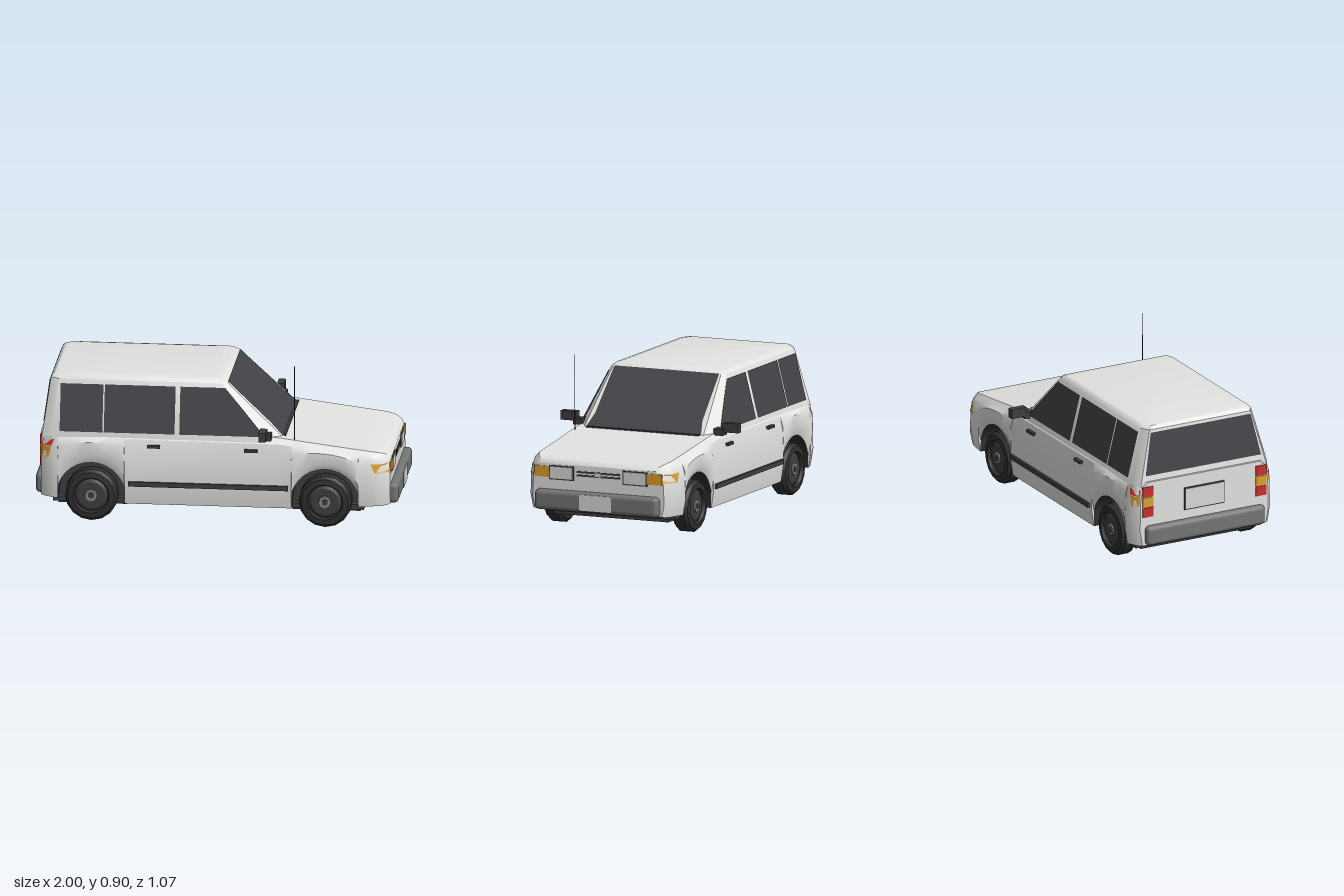
import * as THREE from 'three';
import { toCreasedNormals } from 'three/addons/utils/BufferGeometryUtils.js';
import { RoundedBoxGeometry } from 'three/addons/geometries/RoundedBoxGeometry.js';

const { lerp } = THREE.MathUtils;
const mat = (name, color) =>
  Object.assign(new THREE.MeshStandardMaterial({ color, side: THREE.DoubleSide }), { name });

// Skin between equal-length rings of [x, y, z] points
function loft(rings, closed, caps) {
  const n = rings[0].length, index = [];
  for (let i = 0; i < rings.length - 1; i++) {
    for (let j = 0; j < (closed ? n : n - 1); j++) {
      const a = i * n + j, d = i * n + (j + 1) % n;
      index.push(a, a + n, d + n, a, d + n, d);
    }
  }
  if (caps) {
    const e = (rings.length - 1) * n;
    for (let j = 1; j < n - 1; j++) index.push(0, j, j + 1, e, e + j + 1, e + j);
  }
  const g = new THREE.BufferGeometry();
  g.setAttribute('position', new THREE.Float32BufferAttribute(rings.flat(2), 3));
  g.setIndex(index);
  return toCreasedNormals(g, 0.55);
}

// Lower body keys: x, bottom, top, half width
const KEYS = [
  [-0.965, 0.13, 0.495, 0.40], [-0.94, 0.13, 0.5, 0.425], [-0.88, 0.125, 0.5, 0.442],
  [-0.6, 0.105, 0.5, 0.447], [0.34, 0.105, 0.495, 0.447], [0.6, 0.105, 0.462, 0.447],
  [0.86, 0.13, 0.43, 0.445], [0.91, 0.13, 0.42, 0.428], [0.94, 0.13, 0.405, 0.405], [0.955, 0.135, 0.385, 0.395],
];
const AXLES = [-0.685, 0.6], AXLE_Y = 0.145, ARCH = 0.188;

// Half cross-section of the lower body, bottom to top, as [y, z]
function section(x) {
  let i = 0;
  while (i < KEYS.length - 2 && x > KEYS[i + 1][0]) i++;
  const t = (x - KEYS[i][0]) / (KEYS[i + 1][0] - KEYS[i][0]);
  let [, yb, yt, w] = KEYS[i].map((v, k) => lerp(v, KEYS[i + 1][k], t));
  for (const c of AXLES) {
    const d = Math.abs(x - c);
    if (d < ARCH - 0.005) yb = AXLE_Y + Math.sqrt(ARCH * ARCH - d * d);
  }
  const h = yt - yb;
  return [[yb, w - 0.015], [yb + 0.25 * h, w], [yb + 0.7 * h, w - 0.004], [yt - 0.03, w - 0.02], [yt, w - 0.05]];
}

// Width of the body side at a given point
function sideZ(x, y) {
  const s = section(x);
  let i = 0;
  while (i < s.length - 2 && y > s[i + 1][0]) i++;
  return lerp(s[i][1], s[i + 1][1], (y - s[i][0]) / (s[i + 1][0] - s[i][0]));
}

// Glasshouse planes
const rise = y => (y - 0.48) / 0.3;
const cabinZ = y => lerp(0.42, 0.345, rise(y));
const screenX = y => lerp(0.37, 0.055, rise(y));
const tailX = y => lerp(-0.958, -0.918, rise(y));

export function createModel() {
  const car = new THREE.Group();
  car.name = 'car';
  const paint = mat('body paint', 0xe2e2e0), glass = mat('dark glass', 0x434247),
    trim = mat('black trim', 0x3e3e41), rubber = mat('tyre rubber', 0x303032),
    bumperGrey = mat('bumper grey', 0x737674), red = mat('lamp red', 0xc9302c),
    amber = mat('lamp amber', 0xdb9d2c), lens = mat('plate and lens white', 0xd8d8d8),
    metal = mat('hub metal', 0x85878a);

  const add = (name, geo, material, parent = car) => {
    const m = new THREE.Mesh(geo, material);
    m.name = name;
    parent.add(m);
    return m;
  };
  // Box given by its min and max corners
  const box = (name, m, x0, x1, y0, y1, z0, z1) =>
    add(name, new THREE.BoxGeometry(x1 - x0, y1 - y0, Math.abs(z1 - z0)), m)
      .position.set((x0 + x1) / 2, (y0 + y1) / 2, (z0 + z1) / 2);
  // Flat outline laid onto a surface by a mapping rule
  const plate = (name, m, pts, map) => {
    const g = new THREE.ShapeGeometry(new THREE.Shape(pts.map(p => new THREE.Vector2(...p))));
    const p = g.attributes.position;
    for (let i = 0; i < p.count; i++) p.setXYZ(i, ...map(p.getX(i), p.getY(i)));
    g.computeVertexNormals();
    // Turn the faces outward when the mapping mirrors them
    const c = new THREE.Vector3(...map(...pts[0]));
    const nrm = new THREE.Vector3().fromBufferAttribute(g.attributes.normal, 0);
    const out = Math.abs(nrm.z) > Math.abs(nrm.x) ? nrm.z * c.z : nrm.x * c.x;
    if (out < 0) {
      g.setIndex([...g.index.array].reverse());
      g.computeVertexNormals();
    }
    return add(name, g, m);
  };
  const rect = (u0, u1, v0, v1) => [[u0, v0], [u1, v0], [u1, v1], [u0, v1]];

  // Lower body with wheel arches, and its dark underside
  const xs = KEYS.map(k => k[0]);
  for (const c of AXLES) {
    for (let k = 0; k <= 14; k++) xs.push(c - (ARCH - 0.0055) * Math.cos(k / 14 * Math.PI));
    xs.push(c - ARCH + 0.004, c + ARCH - 0.004);
  }
  xs.sort((a, b) => a - b);
  const rings = xs.map(x => {
    const s = section(x);
    return [...s.map(([y, z]) => [x, y, z]), ...s.reverse().map(([y, z]) => [x, y, -z])];
  });
  add('lowerBody', loft(rings, false, true), paint);
  add('underside', loft(rings.map(r => [r[r.length - 1], r[0]]), false, false), rubber);

  // Cabin: front x, rear x, half width, front corner inset in x and z, at each height
  const levels = [
    [0.47, 0.38, -0.959, 0.4225, 0.105, 0.062], [0.78, 0.055, -0.918, 0.345, 0.03, 0.02],
    [0.797, 0.03, -0.9, 0.328, 0.03, 0.02], [0.803, -0.01, -0.87, 0.3, 0.03, 0.02],
  ];
  add('cabin', loft(levels.map(([y, xf, xr, w, c, d]) => {
    const half = [[xf, w - d], [xf - c, w], [xr + 0.05, w], [xr, w - 0.03]];
    return [...half.map(([x, z]) => [x, y, z]), ...half.reverse().map(([x, z]) => [x, y, -z])];
  }), true, true), paint);

  // Windscreen and rear window
  plate('windscreen', glass,
    [[-0.345, 0.495], [0.345, 0.495], [0.322, 0.56], [0.315, 0.785], [-0.315, 0.785], [-0.322, 0.56]],
    (z, y) => [screenX(y) + 0.006, y, z]);
  plate('rearWindow', glass, [[-0.36, 0.53], [0.36, 0.53], [0.312, 0.765], [-0.312, 0.765]],
    (z, y) => [tailX(y) - 0.005, y, z]);

  for (const s of [1, -1]) {
    // Side glass
    const onCabin = (x, y) => [x, y, s * (cabinZ(y) + 0.004)];
    plate('rearQuarterWindow', glass, rect(-0.86, -0.625, 0.502, 0.757), onCabin);
    plate('rearDoorWindow', glass, rect(-0.617, -0.228, 0.502, 0.757), onCabin);
    plate('frontDoorWindow', glass,
      [[-0.202, 0.502], [0.26, 0.502], [0.245, 0.53], [0.145, 0.645], [0.045, 0.757], [-0.202, 0.757]], onCabin);

    // Lamps wrapping round the corners
    const onBody = (x, y) => [x, y, s * (sideZ(x, y) + 0.004)];
    plate('sideIndicator', amber,
      [[0.875, 0.32], [0.91, 0.32], [0.94, 0.32], [0.955, 0.32], [0.955, 0.368], [0.94, 0.368], [0.91, 0.368], [0.85, 0.37]], onBody);
    plate('sideTailLamp', red, [[-0.962, 0.42], [-0.94, 0.42], [-0.905, 0.42], [-0.88, 0.478], [-0.94, 0.478], [-0.95, 0.478]], onBody);
    plate('sideTailIndicator', amber, [[-0.962, 0.365], [-0.94, 0.355], [-0.92, 0.36], [-0.905, 0.417], [-0.94, 0.417], [-0.962, 0.417]], onBody);
    box('frontIndicator', amber, 0.95, 0.959, 0.31, 0.37, s * 0.29, s * 0.382);
    box('headlampFrame', trim, 0.95, 0.959, 0.298, 0.377, s * 0.147, s * 0.294);
    box('headlampLens', lens, 0.955, 0.963, 0.305, 0.37, s * 0.154, s * 0.287);
    [[red, 0.295], [amber, 0.355], [red, 0.415]].forEach(([m, y]) =>
      box('rearLamp', m, -0.97, -0.96, y, y + 0.055, s * 0.32, s * 0.385));

    // Side trim, handles and mirrors
    box('sideMoulding', trim, -0.48, 0.4, 0.21, 0.236, s * 0.435, s * 0.46);
    box('rearDoorHandle', trim, -0.375, -0.305, 0.428, 0.443, s * 0.43, s * 0.452);
    box('frontDoorHandle', trim, 0.158, 0.23, 0.42, 0.435, s * 0.43, s * 0.452);
    box('mirror', trim, 0.245, 0.285, 0.505, 0.557, s * 0.44, s * 0.533);
    box('mirrorArm', trim, 0.25, 0.305, 0.488, 0.525, s * 0.395, s * 0.45);

    // Wheels
    for (const x of AXLES) {
      const wheel = new THREE.Group();
      wheel.name = 'wheel';
      const profile = [[0.05, -0.05], [0.125, -0.05], [0.145, -0.032], [0.145, 0.03], [0.13, 0.048], [0.1, 0.052], [0.092, 0.035]];
      const tyre = new THREE.LatheGeometry(profile.map(p => new THREE.Vector2(...p)), 16);
      add('tyre', toCreasedNormals(tyre, 0.5), rubber, wheel);
      add('rim', new THREE.CylinderGeometry(0.075, 0.094, 0.012, 16), trim, wheel).position.y = 0.036;
      add('hub', new THREE.CylinderGeometry(0.034, 0.038, 0.014, 8), metal, wheel).position.y = 0.042;
      add('hubCap', new THREE.CylinderGeometry(0.018, 0.02, 0.01, 6), trim, wheel).position.y = 0.047;
      wheel.rotation.x = s * Math.PI / 2;
      wheel.position.set(x, AXLE_Y, s * 0.385);
      car.add(wheel);
    }
  }

  // Wheel housings and floor
  for (const x of AXLES) {
    const housing = add('wheelHousing', new THREE.CylinderGeometry(0.186, 0.186, 0.68, 24, 1, false), trim);
    housing.scale.set(1, 1, 0.99);
    housing.rotation.x = Math.PI / 2;
    housing.position.set(x, AXLE_Y, 0);
    // Keep the housing above the floor line
    const p = housing.geometry.attributes.position;
    for (let i = 0; i < p.count; i++) p.setZ(i, Math.min(p.getZ(i), 0.06));
    box('housingBase', trim, x - 0.188, x + 0.188, 0.077, 0.12, -0.345, 0.345);
  }
  box('floor', trim, -0.9, 0.81, 0.097, 0.125, -0.39, 0.39);

  // Bumpers and number plates
  for (const s of [1, -1]) {
    add('bumper', new RoundedBoxGeometry(0.09, 0.112, 0.74, 3, 0.025), bumperGrey)
      .position.set(s * 0.953, 0.188, 0);
  }
  box('frontPlate', lens, 0.992, 1, 0.142, 0.232, -0.095, 0.095);
  box('rearPlateFrame', trim, -0.971, -0.96, 0.295, 0.425, -0.125, 0.125);
  box('rearPlate', lens, -0.974, -0.966, 0.302, 0.418, -0.118, 0.118);

  // Grille slats
  for (const y of [0.326, 0.345]) box('grilleSlat', trim, 0.95, 0.96, y, y + 0.01, -0.13, 0.13);
  box('grilleCentre', lens, 0.955, 0.964, 0.331, 0.351, -0.02, 0.02);

  // Wiper rail and aerial
  box('wiperRail', trim, 0.362, 0.376, 0.488, 0.497, -0.34, 0.34);
  add('aerial', new THREE.CylinderGeometry(0.002, 0.003, 0.44, 6), rubber).position.set(0.428, 0.68, 0.383);

  return car;
}
